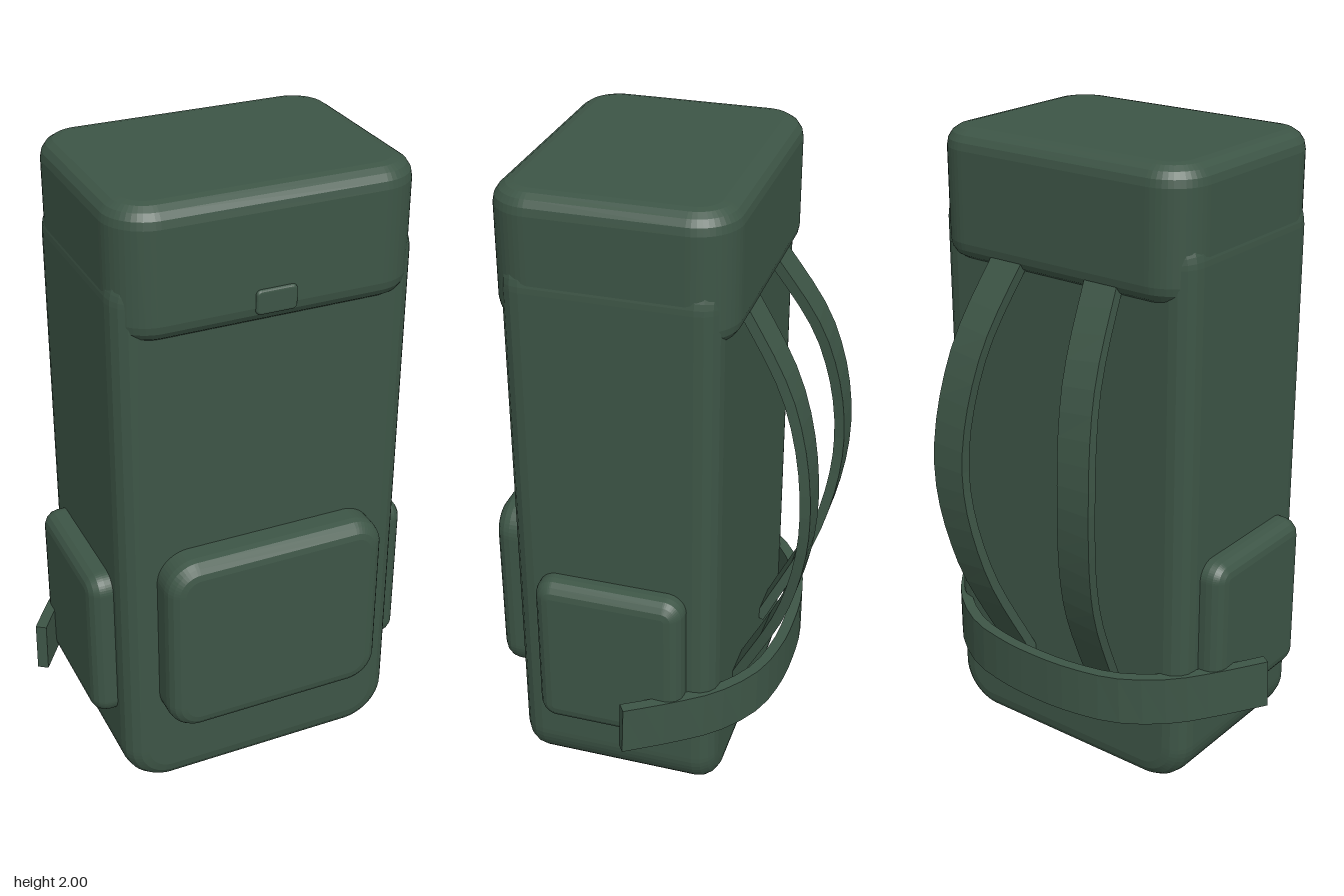
import * as THREE from 'three';

const V = (x, y, z) => new THREE.Vector3(x, y, z);

// Rounded rectangle extruded along z with a rounded bevel; centred, outer size w x h x d
function pad(w, h, d, radius, bevel) {
  const x = w / 2 - bevel, y = h / 2 - bevel, r = Math.max(radius - bevel, 0.005);
  const s = new THREE.Shape();
  s.absarc(x - r, y - r, r, 0, Math.PI / 2);
  s.absarc(-x + r, y - r, r, Math.PI / 2, Math.PI);
  s.absarc(-x + r, -y + r, r, Math.PI, Math.PI * 1.5);
  s.absarc(x - r, -y + r, r, Math.PI * 1.5, Math.PI * 2);
  s.closePath();
  const geo = new THREE.ExtrudeGeometry(s, {
    depth: d - 2 * bevel, bevelEnabled: true, bevelSize: bevel,
    bevelThickness: bevel, bevelSegments: 4, curveSegments: 6,
  });
  return geo.translate(0, 0, -d / 2 + bevel);
}

// Flat band swept along a smooth path; its width runs along the side vector
function band(points, side, width, thick, steps) {
  const curve = new THREE.CatmullRomCurve3(points);
  const pos = [], index = [];
  for (let i = 0; i <= steps; i++) {
    const p = curve.getPoint(i / steps), t = curve.getTangent(i / steps);
    const n = t.clone().cross(side).normalize();
    const w = n.clone().cross(t).normalize();
    for (const [a, b] of [[-1, -1], [1, -1], [1, 1], [-1, 1]]) {
      const q = p.clone().addScaledVector(w, a * width / 2).addScaledVector(n, b * thick / 2);
      pos.push(q.x, q.y, q.z);
    }
    if (i === steps) break;
    for (let k = 0; k < 4; k++) {
      const a = i * 4 + k, b = i * 4 + (k + 1) % 4;
      index.push(a, b, b + 4, a, b + 4, a + 4);
    }
  }
  const e = steps * 4;
  index.push(0, 2, 1, 0, 3, 2, e, e + 1, e + 2, e, e + 2, e + 3);
  const geo = new THREE.BufferGeometry();
  geo.setAttribute('position', new THREE.Float32BufferAttribute(pos, 3));
  geo.setIndex(index);
  const flat = geo.toNonIndexed();
  flat.computeVertexNormals();
  return flat;
}

export function createModel() {
  const group = new THREE.Group();
  const canvas = new THREE.MeshStandardMaterial({ color: 0x3d5546, side: THREE.DoubleSide });
  canvas.name = 'green canvas';
  const add = (name, geo, x = 0, y = 0, z = 0) => {
    const mesh = new THREE.Mesh(geo, canvas);
    mesh.name = name;
    mesh.position.set(x, y, z);
    group.add(mesh);
    return mesh;
  };

  // Main bag, lid and clasp
  add('body', pad(0.93, 1.86, 0.645, 0.15, 0.07), 0, 0.93, 0.07);
  add('lid', pad(0.925, 0.71, 0.4, 0.13, 0.06).rotateX(-Math.PI / 2), 0, 1.8, 0.07);
  add('clasp', pad(0.125, 0.075, 0.04, 0.015, 0.008), 0, 1.677, 0.414);

  // Pockets
  add('frontPocket', pad(0.715, 0.615, 0.16, 0.1, 0.05), 0, 0.588, 0.417);
  for (const s of [-1, 1]) {
    const pocket = pad(0.47, 0.525, 0.16, 0.06, 0.05).rotateY(s * Math.PI / 2);
    add(s > 0 ? 'leftPocket' : 'rightPocket', pocket, s * 0.457, 0.522, 0.07);

    // Shoulder straps bow outwards and away from the back
    add(s > 0 ? 'leftStrap' : 'rightStrap', band([
      V(s * 0.165, 1.7, -0.22), V(s * 0.215, 1.37, -0.415), V(s * 0.242, 1.02, -0.478),
      V(s * 0.215, 0.68, -0.425), V(s * 0.17, 0.3, -0.25),
    ], V(1, 0, 0), 0.115, 0.032, 20));
  }

  // Hip belt wraps around the lower back
  const half = [[0.61, 0.352, 0.0], [0.52, 0.346, -0.13], [0.42, 0.34, -0.25], [0.28, 0.334, -0.34], [0.13, 0.332, -0.375]];
  add('hipBelt', band([
    ...half.map(([x, y, z]) => V(-x, y, z)), V(0, 0.33, -0.381),
    ...half.reverse().map(([x, y, z]) => V(x, y, z)),
  ], V(0, 1, 0), 0.16, 0.035, 24));

  return group;
}
